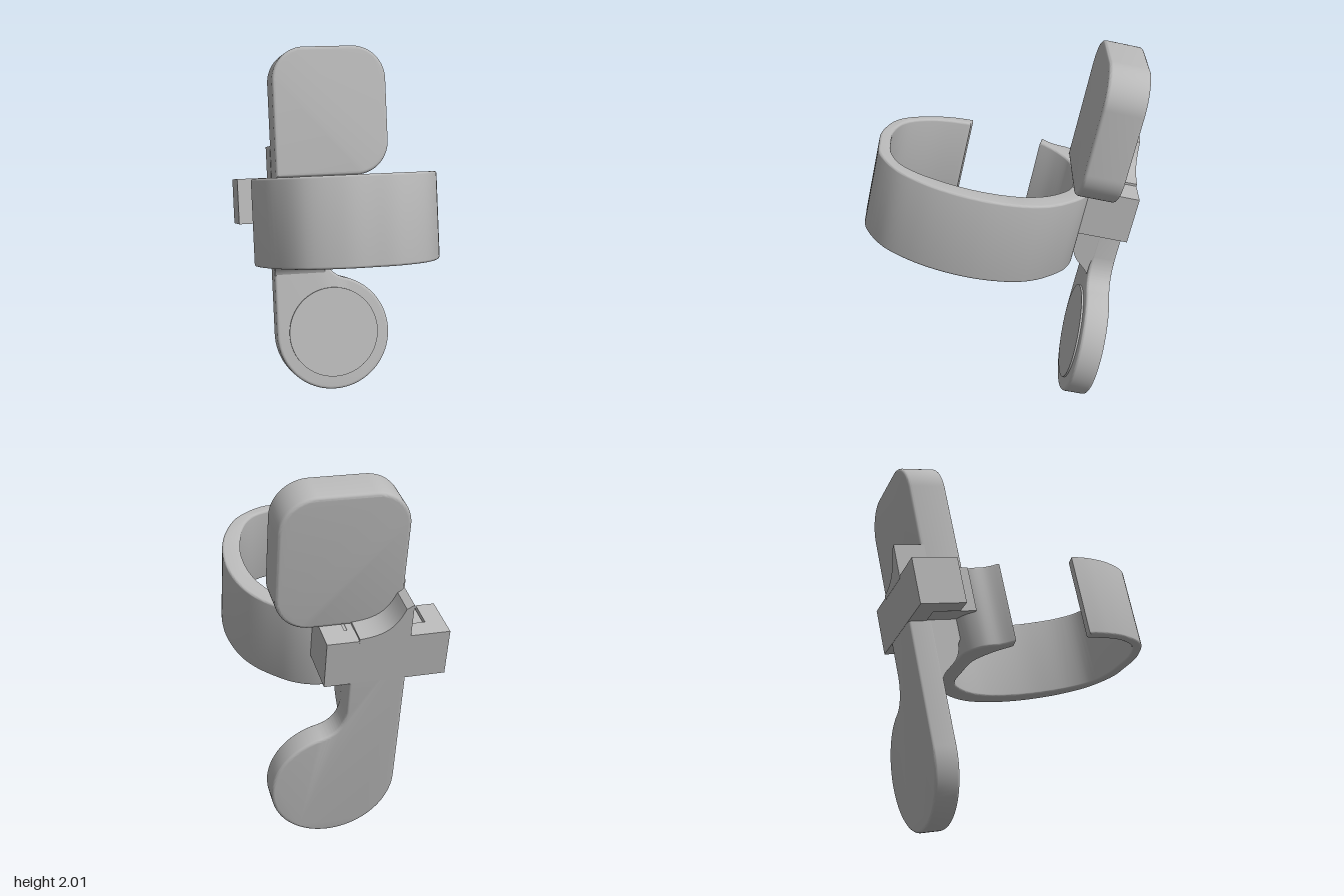
import * as THREE from 'three';
import { toCreasedNormals } from 'three/addons/utils/BufferGeometryUtils.js';

const grey = new THREE.MeshStandardMaterial({ color: 0xb8b8b8 });
grey.name = 'plain grey';

// Extrusion of the given total depth whose rounded edges stay inside the outline.
function extrude(shape, depth, round, curveSegments) {
  const geo = new THREE.ExtrudeGeometry(shape, {
    depth: depth - 2 * round,
    bevelEnabled: round > 0,
    bevelThickness: round,
    bevelSize: round,
    bevelOffset: -round,
    bevelSegments: 4,
    curveSegments,
  });
  geo.translate(0, 0, round);
  return toCreasedNormals(geo, 0.55);
}

const vectors = (pairs) => pairs.map(([x, y]) => new THREE.Vector2(x, y));

export function createModel() {
  const model = new THREE.Group();
  const add = (name, geo) => {
    const mesh = new THREE.Mesh(geo, grey);
    mesh.name = name;
    model.add(mesh);
    return mesh;
  };
  const addBox = (name, [x0, x1], [y0, y1], [z0, z1]) =>
    add(name, new THREE.BoxGeometry(x1 - x0, y1 - y0, z1 - z0))
      .position.set((x0 + x1) / 2, (y0 + y1) / 2, (z0 + z1) / 2);

  // Lower paddle: round disc with one straight edge running up into the neck
  const paddle = new THREE.Shape();
  paddle.moveTo(-0.262, 1.3);
  paddle.lineTo(-0.262, 0.415);
  paddle.absarc(0.072, 0.415, 0.334, Math.PI, Math.PI * 2 + 1.309, false);
  paddle.quadraticCurveTo(0.045, 0.765, 0.035, 0.9);
  paddle.lineTo(0.035, 1.3);
  add('paddle', extrude(paddle, 0.133, 0.016, 32)).position.z = -0.406;

  // Raised round plate on the paddle
  const disc = new THREE.CylinderGeometry(0.264, 0.264, 0.03, 72);
  disc.rotateX(Math.PI / 2);
  add('paddlePlate', disc).position.set(0.073, 0.421, -0.278);

  // Neck: swells forward to meet the cuff
  const neck = new THREE.Shape();
  neck.moveTo(-0.39, 0.77);
  neck.lineTo(-0.276, 0.77);
  neck.bezierCurveTo(-0.25, 0.83, -0.165, 0.84, -0.158, 0.95);
  neck.lineTo(-0.13, 1.0);
  neck.lineTo(-0.13, 1.34);
  neck.lineTo(-0.39, 1.34);
  const neckGeo = extrude(neck, 0.295, 0, 12);
  neckGeo.rotateY(-Math.PI / 2);
  add('neck', neckGeo).position.x = 0.034;

  // Upper pad: three rounded corners, square where it joins the neck
  const [l, r, b, t, c] = [-0.26, 0.394, 1.34, 2.07, 0.19];
  const pad = new THREE.Shape();
  pad.moveTo(l, b);
  pad.lineTo(r - c, b);
  pad.absarc(r - c, b + c, c, -Math.PI / 2, 0, false);
  pad.lineTo(r, t - c);
  pad.absarc(r - c, t - c, c, 0, Math.PI / 2, false);
  pad.lineTo(l + c, t);
  pad.absarc(l + c, t - c, c, Math.PI / 2, Math.PI, false);
  add('upperPad', extrude(pad, 0.212, 0.018, 12)).position.z = -0.259;

  // Curved gusset behind the pad
  const gusset = new THREE.Shape();
  gusset.moveTo(-0.262, 1.33);
  gusset.lineTo(0.0, 1.33);
  gusset.lineTo(0.0, 1.355);
  gusset.bezierCurveTo(-0.13, 1.365, -0.18, 1.4, -0.225, 1.505);
  gusset.lineTo(-0.262, 1.525);
  add('gusset', extrude(gusset, 0.17, 0, 12)).position.z = -0.408;

  // Bracket: back bar with an arm at each end, holding the cuff tab
  const level = [1.086, 1.343];
  addBox('bracketBar', [-0.468, 0.165], level, [-0.407, -0.307]);
  addBox('bracketRightArm', [-0.468, -0.37], level, [-0.31, -0.16]);
  addBox('bracketLeftArm', [0.05, 0.165], level, [-0.31, -0.105]);
  addBox('cuffTab', [-0.36, 0.05], [1.09, 1.338], [-0.303, -0.065]);

  // Open cuff, outlined from above and extruded downward
  const outer = vectors([
    [-0.403, 0.097], [-0.365, 0.03], [-0.35, -0.06], [-0.28, -0.135], [-0.18, -0.15], [0.0, -0.152],
    [0.13, -0.148], [0.24, -0.105], [0.33, -0.03], [0.405, 0.055], [0.46, 0.155], [0.493, 0.28],
    [0.504, 0.42], [0.485, 0.58], [0.435, 0.73], [0.345, 0.87], [0.195, 0.965], [0.05, 0.98],
    [-0.1, 0.975], [-0.28, 0.905], [-0.395, 0.76], [-0.455, 0.61], [-0.473, 0.49],
  ]);
  const inner = vectors([
    [-0.411, 0.503], [-0.38, 0.674], [-0.316, 0.795], [-0.231, 0.874], [-0.1, 0.917], [0.03, 0.92],
    [0.15, 0.908], [0.259, 0.857], [0.33, 0.76], [0.375, 0.63], [0.4, 0.5], [0.4, 0.36],
    [0.378, 0.235], [0.338, 0.14], [0.29, 0.07], [0.235, 0.013], [0.18, -0.028], [0.11, -0.052],
    [0.0, -0.055], [-0.1, -0.055], [-0.18, -0.04], [-0.27, 0.025], [-0.34, 0.11],
  ]);
  const cuff = new THREE.Shape();
  cuff.moveTo(outer[0].x, outer[0].y);
  cuff.splineThru(outer.slice(1));
  cuff.lineTo(inner[0].x, inner[0].y);
  cuff.splineThru(inner.slice(1));
  cuff.closePath();
  const cuffGeo = extrude(cuff, 0.45, 0.012, 5);
  cuffGeo.rotateX(Math.PI / 2);
  add('cuff', cuffGeo).position.y = 1.34;

  // The whole device leans back and turns slightly
  model.rotation.set(-0.2165, -0.235, 0, 'YXZ');
  const root = new THREE.Group();
  root.name = 'cuffHolder';
  root.add(model);
  return root;
}
